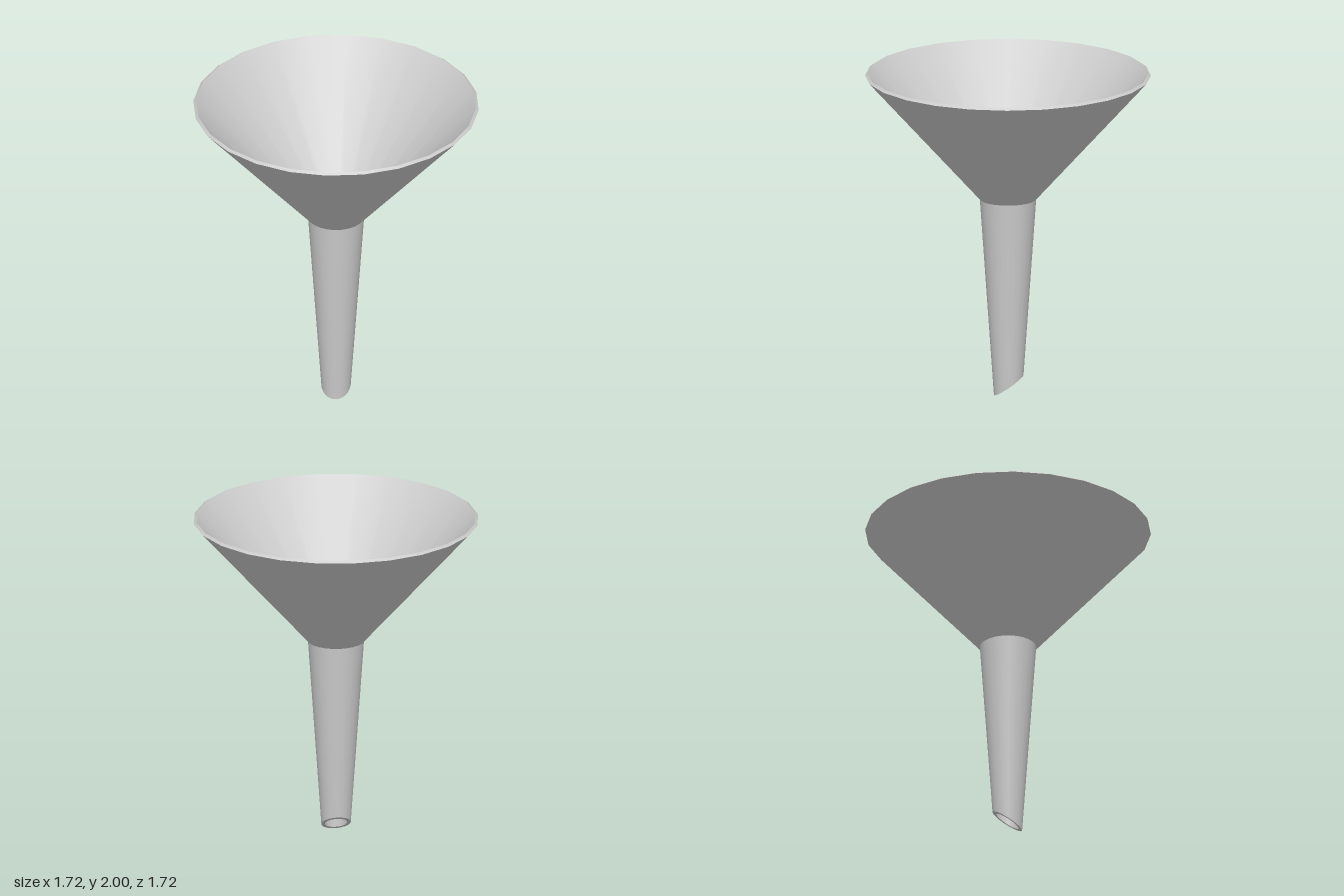
import * as THREE from 'three';

const SIDES = 24;
const CUT_HEIGHT = 0.06, CUT_SLOPE = 0.7;

// Spout wall radius at height y
const outerRadius = (y) => 0.085 + 0.0697 * y;
const innerRadius = (y) => 0.063 + 0.0738 * y;

// Slides a vertex along its tapered wall until it meets the slanted cut plane
function slideToCut(pos, i, radius) {
  const angle = Math.atan2(pos.getX(i), pos.getZ(i));
  let y = CUT_HEIGHT;
  for (let k = 0; k < 12; k++) y = CUT_HEIGHT - CUT_SLOPE * radius(y) * Math.cos(angle);
  const r = radius(y);
  pos.setXYZ(i, r * Math.sin(angle), y, r * Math.cos(angle));
}

export function createModel() {
  const group = new THREE.Group();
  const material = new THREE.MeshStandardMaterial({ color: 0xcccccc });

  // One band of the turned profile; separate bands keep the edges between them sharp
  function band(name, from, to) {
    const geometry = new THREE.LatheGeometry(
      [new THREE.Vector2(...from), new THREE.Vector2(...to)], SIDES);
    const pos = geometry.attributes.position;
    for (let i = 0; i < pos.count; i++) {
      if (pos.getY(i) > 0.001) continue;
      const outer = Math.hypot(pos.getX(i), pos.getZ(i)) > 0.074;
      slideToCut(pos, i, outer ? outerRadius : innerRadius);
    }
    if (name === 'spoutTip') geometry.computeVertexNormals();
    const mesh = new THREE.Mesh(geometry, material);
    mesh.name = name;
    group.add(mesh);
  }

  // Profile runs from the inner tip, up the outside, over the rim and back down inside
  const profile = [
    [innerRadius(0), 0], [outerRadius(0), 0], [outerRadius(1.22), 1.22],
    [0.862, 1.987], [0.846, 2], [innerRadius(1.22), 1.22], [innerRadius(0), 0],
  ];
  const names = ['spoutTip', 'spoutOutside', 'coneOutside', 'rim', 'coneInside', 'spoutInside'];
  names.forEach((name, i) => band(name, profile[i], profile[i + 1]));

  return group;
}
